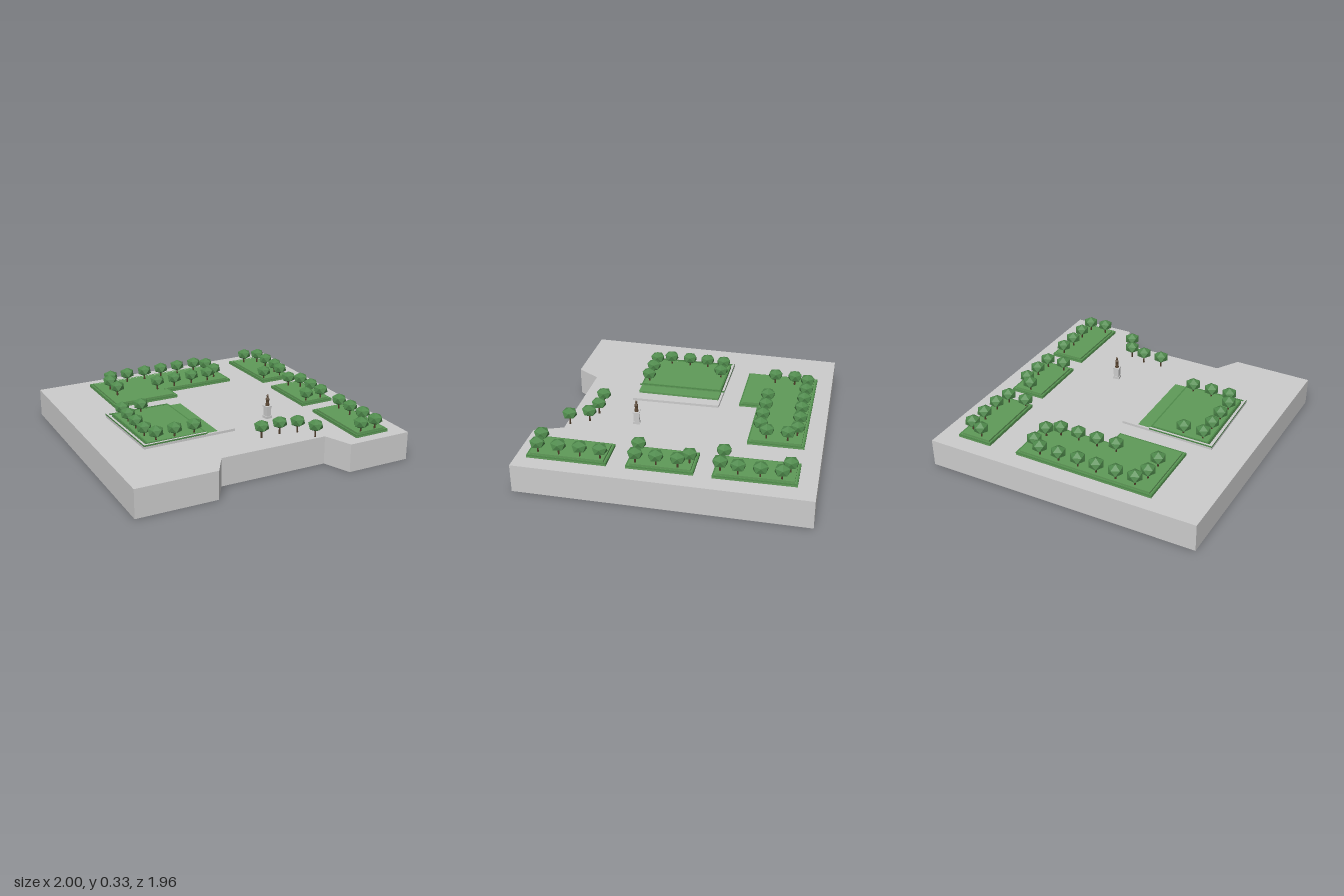
import * as THREE from 'three';

const mat = (color, extra = {}) =>
  new THREE.MeshStandardMaterial({ color, flatShading: true, ...extra });
const grey = mat(0xcccccc);
const lawnGreen = mat(0x5f9a58);
const hedgeGreen = mat(0x4f8a4a);
const crownGreen = mat(0x4f8a4c);
const bark = mat(0x4a3826);
const bronze = mat(0x5a4632);

const GROUND = 0.175;

// Move every edge of an (x, z) outline inward by d
function inset(pts, d) {
  const n = pts.length;
  const area = pts.reduce((s, [x, z], i) => {
    const [u, v] = pts[(i + 1) % n];
    return s + x * v - u * z;
  }, 0);
  const sign = Math.sign(area);
  return pts.map((p, i) => {
    const a = pts[(i + n - 1) % n], b = pts[(i + 1) % n];
    const n1 = normal(a, p, sign), n2 = normal(p, b, sign);
    const k = d / (1 + n1[0] * n2[0] + n1[1] * n2[1]);
    return [p[0] + k * (n1[0] + n2[0]), p[1] + k * (n1[1] + n2[1])];
  });
}
function normal(a, b, sign) {
  const dx = b[0] - a[0], dz = b[1] - a[1], l = Math.hypot(dx, dz);
  return [(-dz / l) * sign, (dx / l) * sign];
}

// Upright prism over an (x, z) outline, optionally with a hole
function prism(name, pts, y0, y1, material, hole) {
  const toVec = ([x, z]) => new THREE.Vector2(x, -z);
  const shape = new THREE.Shape(pts.map(toVec));
  if (hole) shape.holes.push(new THREE.Path(hole.map(toVec)));
  const geo = new THREE.ExtrudeGeometry(shape, { depth: y1 - y0, bevelEnabled: false });
  geo.rotateX(-Math.PI / 2).translate(0, y0, 0);
  const mesh = new THREE.Mesh(geo, material);
  mesh.name = name;
  return mesh;
}

// Lawn with a curb and a low clipped hedge
function bed(name, pts) {
  const g = new THREE.Group();
  g.name = name;
  g.add(
    prism('lawn', pts, GROUND, 0.187, lawnGreen),
    prism('curb', pts, 0.187, 0.192, hedgeGreen, inset(pts, 0.009)),
    prism('hedge', inset(pts, 0.018), 0.187, 0.199, lawnGreen, inset(pts, 0.028)));
  return g;
}

// Faceted tree: squashed icosahedron with a vertex on top
const crownGeo = new THREE.IcosahedronGeometry(0.05, 0);
crownGeo.rotateZ(-Math.atan(2 / (1 + Math.sqrt(5)))).scale(1, 0.76, 1);
const trunkGeo = new THREE.CylinderGeometry(0.004, 0.006, 0.05, 6);
function tree(x, z) {
  const g = new THREE.Group();
  g.name = 'tree';
  const crown = new THREE.Mesh(crownGeo, crownGreen);
  crown.name = 'crown';
  crown.position.y = 0.248;
  const trunk = new THREE.Mesh(trunkGeo, bark);
  trunk.name = 'trunk';
  trunk.position.y = GROUND + 0.025;
  g.add(crown, trunk);
  g.position.set(x, 0, z);
  return g;
}

// Figure on a stone pedestal
function monument() {
  const g = new THREE.Group();
  g.name = 'monument';
  const box = (name, w, y0, y1) => {
    const m = new THREE.Mesh(new THREE.BoxGeometry(w, y1 - y0, w), grey);
    m.name = name;
    m.position.y = (y0 + y1) / 2;
    g.add(m);
  };
  box('plinth', 0.042, GROUND, 0.19);
  box('pedestal', 0.034, 0.19, 0.248);
  box('pedestalCap', 0.042, 0.248, 0.255);
  const profile = [[0, 0.255], [0.013, 0.255], [0.009, 0.28], [0.012, 0.298],
    [0.005, 0.31], [0.007, 0.32], [0, 0.331]].map(([r, y]) => new THREE.Vector2(r, y));
  const figure = new THREE.Mesh(new THREE.LatheGeometry(profile, 8), bronze);
  figure.name = 'statue';
  g.add(figure);
  g.position.set(0.2, 0, 0.3);
  return g;
}

export function createModel() {
  const model = new THREE.Group();
  model.name = 'townSquare';

  // Ground slab
  model.add(prism('groundSlab', [[-0.71, -0.98], [1, -0.745], [0.73, 0.975],
    [0.325, 0.915], [0.285, 0.735], [-0.395, 0.63], [-0.505, 0.757], [-1, 0.68]],
  0, GROUND, grey));

  // Planted beds
  model.add(
    bed('backBed', [[-0.41, -0.84], [0.465, -0.71], [0.42, -0.375],
      [-0.03, -0.44], [-0.045, -0.325], [-0.48, -0.39]]),
    bed('sideBedBack', [[0.645, -0.685], [0.865, -0.655], [0.8, -0.18], [0.58, -0.213]]),
    bed('sideBedMiddle', [[0.56, -0.105], [0.78, -0.075], [0.725, 0.312], [0.503, 0.282]]),
    bed('sideBedFront', [[0.49, 0.395], [0.71, 0.425], [0.64, 0.895], [0.415, 0.865]]));

  // Terrace: raised lawn, lower strip, curb and low open frame
  const terrace = new THREE.Group();
  terrace.name = 'terrace';
  const curb = [[-0.605, -0.29], [-0.195, -0.227], [-0.275, 0.328], [-0.68, 0.275]];
  const frame = [[-0.605, -0.29], [-0.015, -0.195], [-0.09, 0.355], [-0.68, 0.275]];
  const lawn = [[-0.575, -0.265], [-0.2, -0.205], [-0.275, 0.315], [-0.65, 0.255]];
  const strip = [[-0.2, -0.205], [-0.115, -0.19], [-0.195, 0.325], [-0.275, 0.315]];
  const inner = inset(frame, 0.014);
  terrace.add(
    prism('frame', frame, GROUND, 0.19, grey, inner),
    prism('curb', [curb[1], curb[0], curb[3], curb[2],
      [-0.273, 0.314], inner[3], inner[0], [-0.197, -0.213]],
    0.19, 0.2, [grey, hedgeGreen]),
    prism('lawn', lawn, GROUND, 0.195, lawnGreen),
    prism('lawnEdge', lawn, 0.195, 0.2, hedgeGreen, inset(lawn, 0.01)),
    prism('lowerStrip', strip, GROUND, 0.188, lawnGreen));
  model.add(terrace);

  // Trees
  const spots = [
    // back bed
    [-0.29, -0.765], [-0.17, -0.75], [-0.045, -0.73], [0.075, -0.71], [0.2, -0.695],
    [0.325, -0.675], [0.385, -0.615], [-0.34, -0.685], [-0.36, -0.56], [-0.085, -0.505],
    [0.04, -0.49], [0.165, -0.47], [0.285, -0.455], [0.365, -0.49],
    // terrace
    [-0.53, -0.215], [-0.405, -0.2], [-0.555, -0.105], [-0.575, 0.015],
    [-0.595, 0.14], [-0.575, 0.235], [-0.455, 0.25], [-0.33, 0.27],
    // side beds
    [0.73, -0.62], [0.81, -0.57], [0.79, -0.45], [0.77, -0.325], [0.735, -0.225],
    [0.61, -0.245], [0.665, -0.05], [0.715, 0.015], [0.695, 0.14], [0.675, 0.26],
    [0.56, 0.25], [0.645, 0.465], [0.625, 0.585], [0.61, 0.71], [0.59, 0.835], [0.48, 0.83],
    // free-standing
    [-0.03, 0.53], [0.095, 0.545], [0.195, 0.59], [0.235, 0.705]];
  spots.forEach(([x, z]) => model.add(tree(x, z)));

  model.add(monument());
  return model;
}
